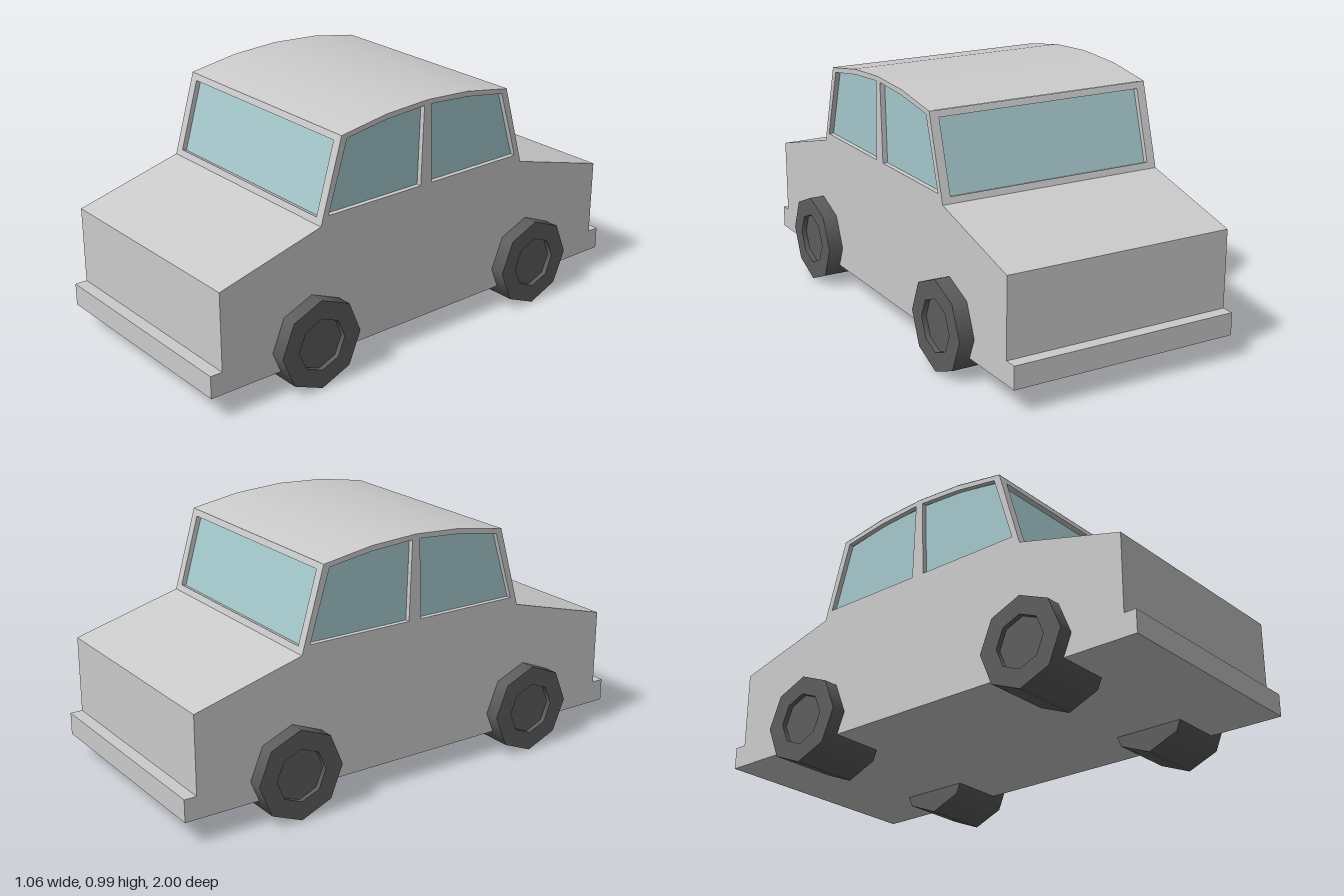
import * as THREE from 'three';
import { mergeGeometries } from 'three/addons/utils/BufferGeometryUtils.js';

const HALF = 0.47;   // half width of the body
const INSET = 0.02;  // how far the glass sits behind the frames
const SILL = [0.505, 0.615], EAVE = [0.41, 0.94], MID = [0.2, 0.974], PEAK = [0, 0.985];

const paint = new THREE.MeshStandardMaterial({ color: 0xcccccc });
const glass = new THREE.MeshStandardMaterial({ color: 0xa5c8cc });
const rubber = new THREE.MeshStandardMaterial({ color: 0x5d5d5d });

const toPoints = (list) => list.map(([a, b]) => new THREE.Vector2(a, b));

// Mirrors the front half of a (z, y) profile to the back
function symmetric(half) {
  const back = half.filter(([z]) => z > 0).reverse().map(([z, y]) => [-z, y]);
  return new THREE.Shape(toPoints([...half, ...back]));
}

// Extrudes a (z, y) profile along x between x0 and x1
function extrudeX(shape, x0, x1) {
  const geo = new THREE.ExtrudeGeometry(shape, { depth: x1 - x0, bevelEnabled: false });
  return geo.rotateY(-Math.PI / 2).translate(x1, 0, 0);
}

function add(parent, name, geometry, material) {
  const mesh = new THREE.Mesh(geometry, material);
  mesh.name = name;
  parent.add(mesh);
  return mesh;
}

// Cabin side with two window openings
function sideFrameShape() {
  const shape = symmetric([SILL, EAVE, MID, PEAK]);
  const win = [[0.47, 0.65], [0.385, 0.925], [0.2, 0.953], [0.017, 0.965], [0.028, 0.65]];
  for (const s of [1, -1]) {
    shape.holes.push(new THREE.Path(toPoints(win.map(([z, y]) => [s * z, y]))));
  }
  return shape;
}

// Sloped frame around the windscreen, its foot at the local origin
function screenFrame() {
  const rise = EAVE[1] - SILL[1], run = SILL[0] - EAVE[0];
  const len = Math.hypot(rise, run), w = HALF - INSET;
  const rect = (hw, y0, y1) => toPoints([[-hw, y0], [hw, y0], [hw, y1], [-hw, y1]]);
  const shape = new THREE.Shape(rect(w, 0, len));
  shape.holes.push(new THREE.Path(rect(0.434, len * 0.077, len * 0.923)));
  const geo = new THREE.ExtrudeGeometry(shape, { depth: INSET, bevelEnabled: false });
  return geo.translate(0, 0, -INSET).rotateX(-Math.atan2(run, rise))
    .translate(0, SILL[1], SILL[0]);
}

// Eight-sided wheel with a sunken hub, smooth around and creased between bands
function wheelGeometry() {
  const p = toPoints([[0, 0.25], [0.18, 0.25], [0.18, 0.53], [0.105, 0.53], [0.105, 0.51], [0, 0.51]]);
  const bands = p.slice(1).map((b, i) => new THREE.LatheGeometry([p[i], b], 8));
  return mergeGeometries(bands).rotateZ(-Math.PI / 2);
}

export function createModel() {
  const car = new THREE.Group();
  car.name = 'car';

  // Lower body with bumpers, bonnet and boot
  const body = symmetric([[1, 0.095], [1, 0.185], [0.95, 0.185], [0.95, 0.495], SILL]);
  add(car, 'body', extrudeX(body, -HALF, HALF), paint);

  // Cabin frames
  const side = sideFrameShape();
  add(car, 'leftWindowFrame', extrudeX(side, HALF - INSET, HALF), paint);
  add(car, 'rightWindowFrame', extrudeX(side, -HALF, INSET - HALF), paint);
  add(car, 'windscreenFrame', screenFrame(), paint);
  add(car, 'rearWindowFrame', screenFrame().rotateY(Math.PI), paint);

  // Glass block recessed behind every opening
  const pane = symmetric([[0.488, 0.6], [0.394, 0.922], [0.2, 0.954], [0, 0.965]]);
  add(car, 'windows', extrudeX(pane, INSET - HALF, HALF - INSET), glass);

  // Smoothly arched roof
  const sag = PEAK[1] - EAVE[1];
  const radius = (EAVE[0] ** 2 + sag ** 2) / (2 * sag);
  const angle = Math.asin(EAVE[0] / radius);
  const roof = new THREE.CylinderGeometry(radius, radius, HALF * 2, 4, 1, true, -angle, angle * 2);
  roof.rotateZ(Math.PI / 2).rotateX(-Math.PI / 2).translate(0, PEAK[1] - radius + 0.001, 0);
  const roofMaterial = paint.clone();
  roofMaterial.side = THREE.DoubleSide;
  add(car, 'roof', roof, roofMaterial);

  // Wheels
  const wheel = wheelGeometry();
  for (const [end, z] of [['front', 0.55], ['rear', -0.55]]) {
    for (const [name, turn] of [['Left', 0], ['Right', Math.PI]]) {
      const mesh = add(car, `${end}${name}Wheel`, wheel, rubber);
      mesh.position.set(0, 0.18, z);
      mesh.rotation.y = turn;
    }
  }
  return car;
}
